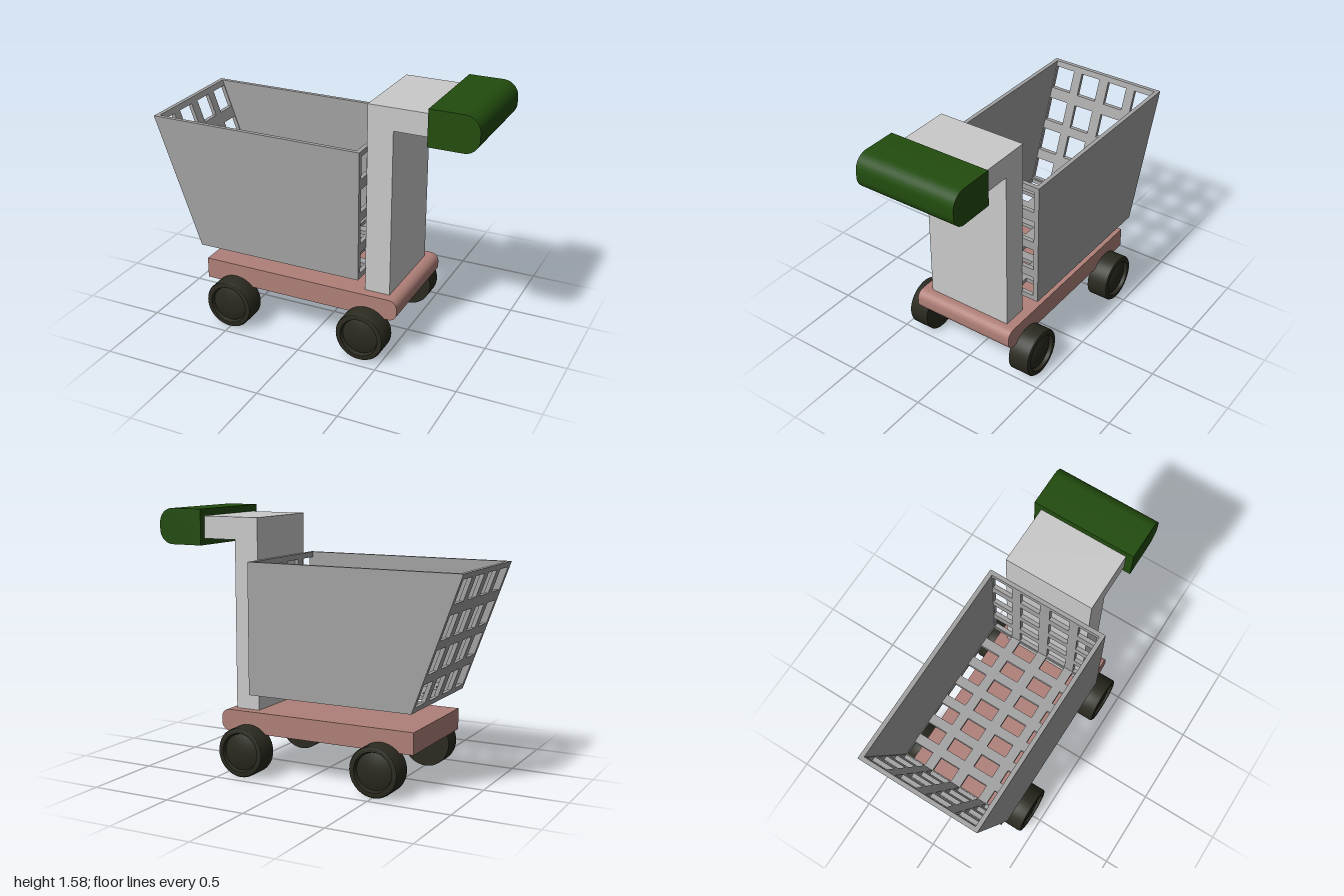
import * as THREE from 'three';
import { toCreasedNormals } from 'three/addons/utils/BufferGeometryUtils.js';

const material = (name, color) => {
  const m = new THREE.MeshStandardMaterial({ color });
  m.name = name;
  return m;
};

// Closed outline from [x, y] corners
const outline = (corners, Type = THREE.Shape) => new Type(corners.map(([x, y]) => new THREE.Vector2(x, y)));

const rect = (x0, x1, y0, y1) => [[x0, y0], [x1, y0], [x1, y1], [x0, y1]];

// Panel extruded along +z, pierced by polygonal holes
function panel(corners, holes, depth) {
  const shape = outline(corners);
  shape.holes = holes.map((h) => outline(h, THREE.Path));
  return new THREE.ExtrudeGeometry(shape, { depth, bevelEnabled: false });
}

// Block whose two +x edges are rounded, centred on z = 0
function roundedEndBlock(x0, x1, y0, y1, halfWidth, r) {
  const s = new THREE.Shape();
  s.moveTo(x0, y0);
  s.lineTo(x1 - r, y0);
  s.absarc(x1 - r, y0 + r, r, -Math.PI / 2, 0, false);
  s.absarc(x1 - r, y1 - r, r, 0, Math.PI / 2, false);
  s.lineTo(x0, y1);
  const g = new THREE.ExtrudeGeometry(s, { depth: halfWidth * 2, bevelEnabled: false, curveSegments: 10 });
  g.translate(0, 0, -halfWidth);
  return toCreasedNormals(g, 0.6);
}

export function createModel() {
  const model = new THREE.Group();
  model.name = 'shoppingCart';
  const basketGrey = material('basket grey', 0xa2a2a2);
  const frameGrey = material('frame light grey', 0xcacaca);
  const basePink = material('base dusty pink', 0xb08079);
  const gripGreen = material('grip green', 0x224c0e);
  const tyreDark = material('tyre dark olive', 0x2a2a20);

  const add = (parent, name, geometry, mat) => {
    const mesh = new THREE.Mesh(geometry, mat);
    mesh.name = name;
    parent.add(mesh);
    return mesh;
  };

  // Base platform, upright with arm, and grip
  add(model, 'base', roundedEndBlock(-0.705, 0.56, 0.25, 0.38, 0.337, 0.05), basePink);
  const upright = panel(
    [[0.335, 0.375], [0.49, 0.375], [0.49, 1.4], [0.72, 1.4], [0.72, 1.535], [0.335, 1.535]], [], 0.554);
  add(model, 'upright', upright.translate(0, 0, -0.277), frameGrey);
  add(model, 'grip', roundedEndBlock(0.705, 1, 1.36, 1.578, 0.321, 0.09), gripGreen);

  // Basket dimensions: sloping far end, lattice rows and columns
  const basket = new THREE.Group();
  basket.name = 'basket';
  model.add(basket);
  const y0 = 0.495, y1 = 1.285, xBack = 0.337, halfZ = 0.386, wall = 0.026;
  const slopeX = (y) => -0.71 - 0.29 * (y - y0) / (y1 - y0);
  const rows = [[0.528, 0.66], [0.718, 0.857], [0.912, 1.053], [1.117, 1.252]];
  const zCols = [[-0.355, -0.225], [-0.165, -0.033], [0.033, 0.165], [0.225, 0.355]];

  // Left edge and width of side hole i at height y; columns fan out upward
  const holeEdges = (i, y) => {
    const t = (y - 0.53) / 0.72;
    const left = -0.687 - 0.273 * t + i * (0.1507 + 0.0403 * t);
    return [left, left + 0.09 + 0.034 * t];
  };

  // Side walls
  const sideHoles = [];
  for (const [a, b] of rows) {
    for (let i = 0; i < 7; i++) {
      const [l0, r0] = holeEdges(i, a);
      const [l1, r1] = holeEdges(i, b);
      sideHoles.push([[l0, a], [r0, a], [r1, b], [l1, b]]);
    }
  }
  const sideCorners = [[slopeX(y0), y0], [xBack, y0], [xBack, y1], [slopeX(y1), y1]];
  for (const [name, z] of [['basketLeftWall', halfZ - wall], ['basketRightWall', -halfZ]]) {
    add(basket, name, panel(sideCorners, sideHoles, wall).translate(0, 0, z), basketGrey);
  }

  // End walls: one upright, one sheared to the slope
  const inner = halfZ - wall;
  const endHoles = rows.flatMap(([a, b]) => zCols.map(([c, d]) => rect(c, d, a, b)));
  const endWall = () => panel(rect(-inner, inner, y0, y1), endHoles, wall).rotateY(Math.PI / 2);
  add(basket, 'basketUprightEnd', endWall().translate(xBack - wall, 0, 0), basketGrey);
  const sloped = endWall();
  const p = sloped.attributes.position;
  for (let i = 0; i < p.count; i++) p.setX(i, p.getX(i) + slopeX(p.getY(i)));
  sloped.computeVertexNormals();
  add(basket, 'basketSlopedEnd', sloped, basketGrey);

  // Floor lattice
  const floorHoles = [];
  for (let i = 0; i < 7; i++) {
    const [l, r] = holeEdges(i, 0.53);
    for (const [c, d] of zCols) floorHoles.push(rect(l, r, c, d));
  }
  const floor = panel(rect(-0.703, xBack - wall, -inner, inner), floorHoles, wall);
  add(basket, 'basketFloor', floor.rotateX(-Math.PI / 2).translate(0, y0, 0), basketGrey);

  // Wheels with a recessed, domed outer face
  const profile = [[0, 0], [0.151, 0], [0.151, 0.124], [0.146, 0.132], [0.138, 0.135], [0.118, 0.135],
    [0.11, 0.113], [0.085, 0.122], [0.045, 0.13], [0, 0.133]].map(([r, y]) => new THREE.Vector2(r, y));
  const wheel = toCreasedNormals(new THREE.LatheGeometry(profile, 40), 0.6);
  for (const [end, x] of [['far', -0.505], ['near', 0.37]]) {
    for (const [side, s] of [['Left', 1], ['Right', -1]]) {
      const mesh = add(model, `${end}${side}Wheel`, wheel, tyreDark);
      mesh.rotation.x = s * Math.PI / 2;
      mesh.position.set(x, 0.151, s * 0.31);
    }
  }
  return model;
}
